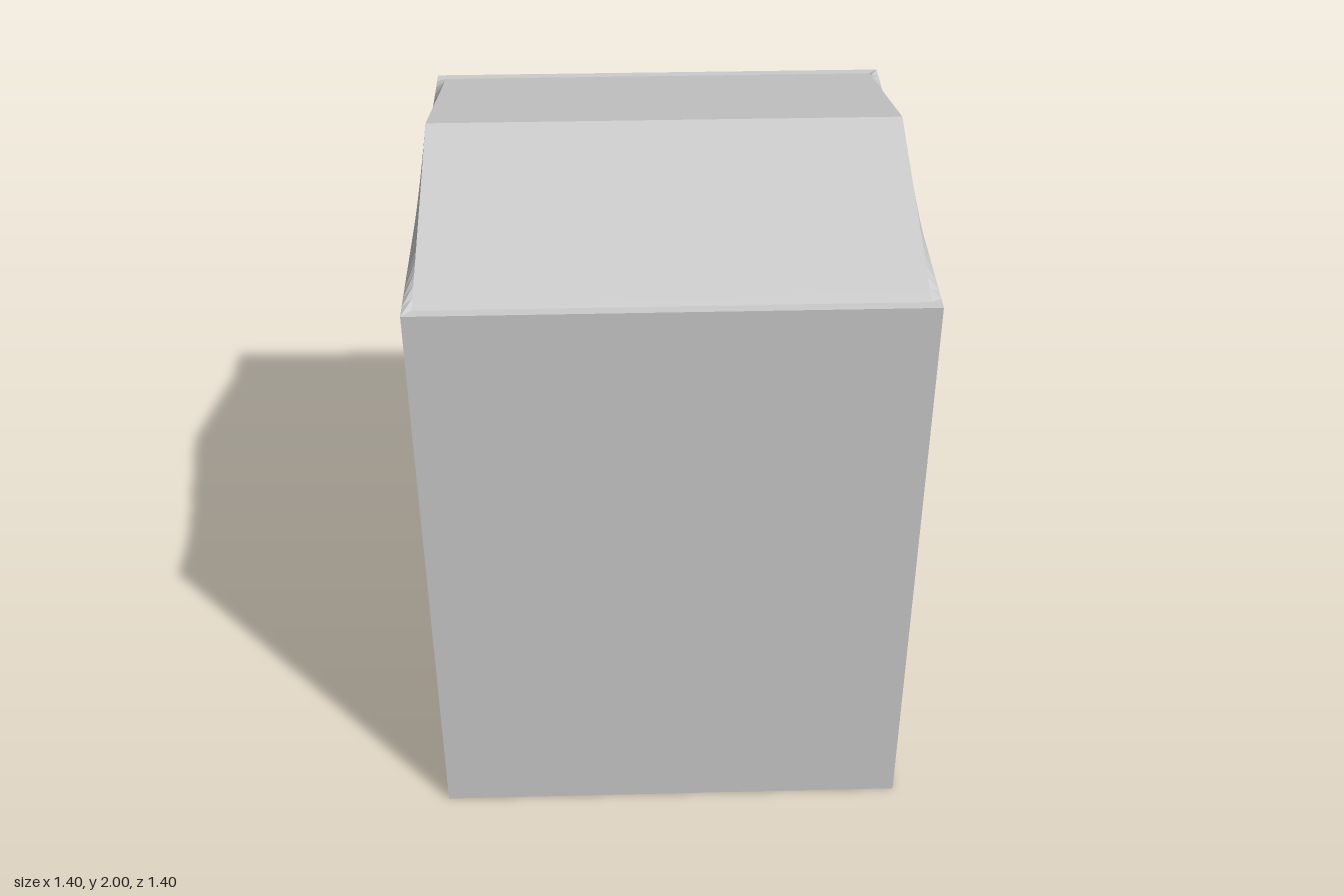
import * as THREE from 'three';

const HALF = 0.7, T = 0.027, EAVE = 1.81, PEAK = 2, DOOR_W = 0.3, DOOR_H = 1.13;
const mat = new THREE.MeshStandardMaterial({ color: 0xcccccc, flatShading: true, side: THREE.DoubleSide });

function add(parent, geometry, name, x = 0, y = 0, z = 0) {
  const mesh = new THREE.Mesh(geometry, mat);
  mesh.name = name;
  mesh.position.set(x, y, z);
  parent.add(mesh);
  return mesh;
}

// Profile in the z-y plane, extruded along x
function extrudeX(points, depth) {
  const shape = new THREE.Shape(points.map(([u, v]) => new THREE.Vector2(u, v)));
  return new THREE.ExtrudeGeometry(shape, { depth, bevelEnabled: false }).rotateY(Math.PI / 2);
}

// Four thin walls with a doorway on +x; peak > top gives gabled ends
function wallShell(name, half, top, peak) {
  const g = new THREE.Group();
  g.name = name;
  const roofLine = peak > top ? [[half, top], [0, peak], [-half, top]] : [[half, top], [-half, top]];
  const doorway = [[-half, 0], [-DOOR_W, 0], [-DOOR_W, DOOR_H], [DOOR_W, DOOR_H], [DOOR_W, 0], [half, 0]];
  add(g, extrudeX([...doorway, ...roofLine], T), 'doorWall', half - T);
  add(g, extrudeX([[-half, 0], [half, 0], ...roofLine], T), 'endWall', -half);
  for (const s of [1, -1])
    add(g, new THREE.BoxGeometry(2 * (half - T), top, T), 'sideWall', 0, top / 2, s * (half - T / 2));
  return g;
}

// Gable roof: the end faces twist from the eave line up to the inset ridge
function roofGeometry() {
  const inner = HALF - T, n = 32, rows = [], pos = [];
  const row = (z, zo, xi, y) => [[-HALF, EAVE, zo], [-xi, y, z], [xi, y, z], [HALF, EAVE, zo]];
  rows.push(row(-HALF, -HALF, HALF, EAVE));
  for (let i = 0; i <= n; i++) {
    const k = (2 * i) / n - 1;
    rows.push(row(k * inner, k * HALF, inner, EAVE + (PEAK - EAVE) * (1 - Math.abs(k))));
  }
  rows.push(row(HALF, HALF, HALF, EAVE));
  for (let r = 0; r < rows.length - 1; r++)
    for (let c = 0; c < 3; c++) {
      const a = rows[r][c], b = rows[r][c + 1], d = rows[r + 1][c], e = rows[r + 1][c + 1];
      pos.push(...a, ...d, ...b, ...b, ...d, ...e);
    }
  const geo = new THREE.BufferGeometry();
  geo.setAttribute('position', new THREE.Float32BufferAttribute(pos, 3));
  geo.computeVertexNormals();
  return geo;
}

export function createModel() {
  const model = new THREE.Group();
  model.name = 'shed';

  // Outer skin and roof
  model.add(wallShell('outerWalls', HALF, EAVE - 0.001, 0));
  add(model, roofGeometry(), 'roof');

  // Inner lining, separated from the skin by a narrow gap
  const lining = HALF - 0.058, top = 1.76, peak = 1.94;
  model.add(wallShell('innerWalls', lining, top, peak));
  const w = lining - T;
  add(model, extrudeX([[-lining, top], [0, peak], [lining, top], [w, top - 0.02], [0, peak - T], [-w, top - 0.02]], 2 * w),
    'ceiling', -w);

  // Floor slab
  add(model, new THREE.BoxGeometry(2 * HALF - 0.002, 0.004, 2 * HALF - 0.002), 'floor', 0, 0.002, 0);
  return model;
}
